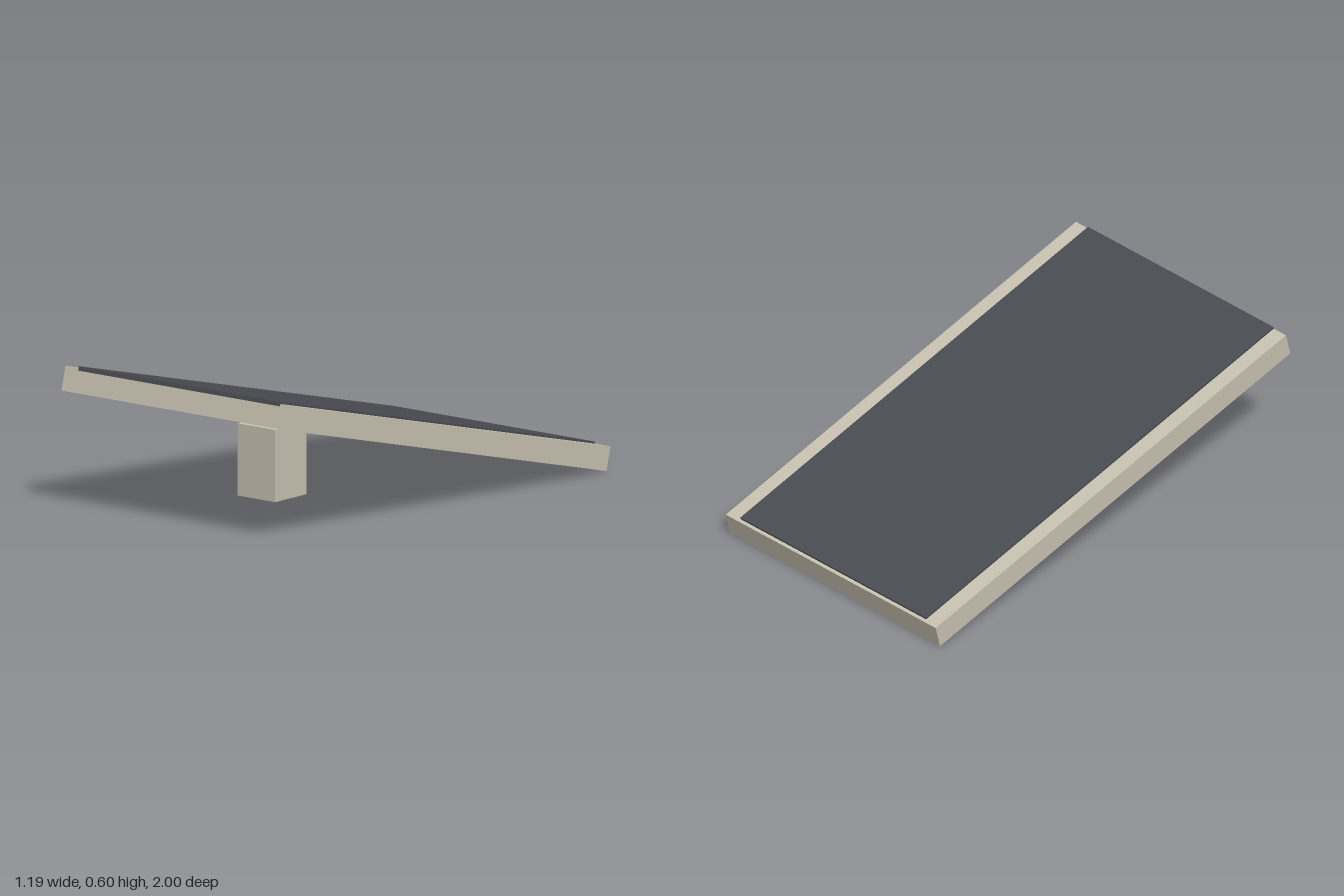
import * as THREE from 'three';

const frameMat = new THREE.MeshStandardMaterial({ color: 0xc8c2b1 });
const panelMat = new THREE.MeshStandardMaterial({ color: 0x494c51 });

function box(name, size, position, material) {
  const mesh = new THREE.Mesh(new THREE.BoxGeometry(...size), material);
  mesh.name = name;
  mesh.position.set(...position);
  return mesh;
}

export function createModel() {
  const model = new THREE.Group();
  model.name = 'tiltedPanel';

  // Slab and its dark surface, tilted up towards the front (slope 1 : 4)
  const deck = new THREE.Group();
  deck.name = 'deck';
  deck.position.y = 0.2955;
  deck.rotation.x = -Math.atan(0.25);
  deck.add(box('slab', [1.186, 0.1, 2.036], [0, 0, 0], frameMat));
  deck.add(box('surfacePanel', [1.048, 0.018, 2.022], [0, 0.049, 0.008], panelMat));
  model.add(deck);

  // Upright post whose top runs into the slab's underside
  model.add(box('supportPost', [0.195, 0.295, 0.197], [0, 0.1975, 0.398], frameMat));

  return model;
}
